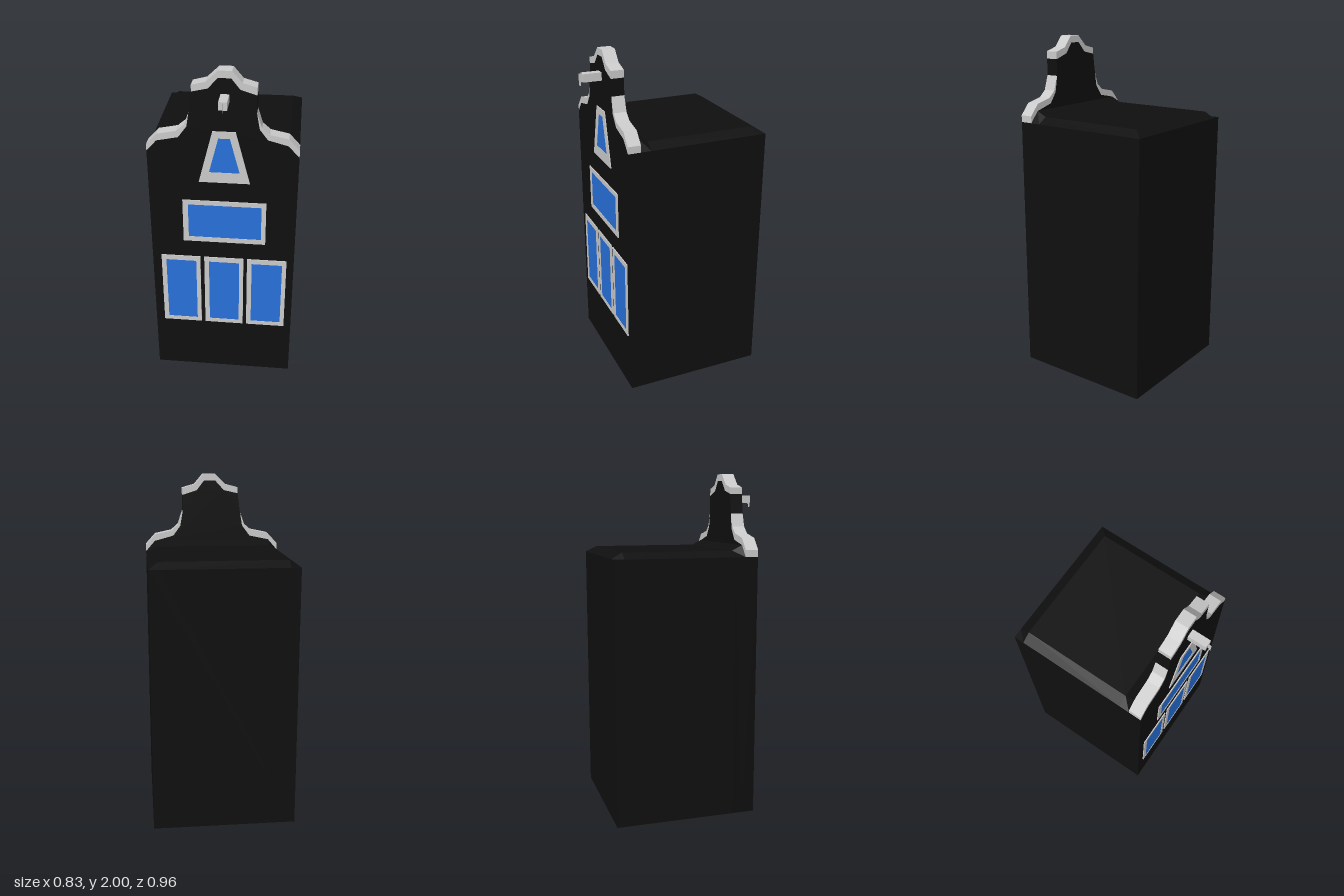
import * as THREE from 'three';

const BACK = -0.48, GABLE = 0.28, FRONT = 0.355;
const black = new THREE.MeshStandardMaterial({ color: 0x0f0f0f, flatShading: true });
const grey = new THREE.MeshStandardMaterial({ color: 0xcccccc, flatShading: true });
const greyThin = new THREE.MeshStandardMaterial({ color: 0xcccccc, side: THREE.DoubleSide });
const blue = new THREE.MeshStandardMaterial({ color: 0x2771dc, flatShading: true });

const toShape = (pts) => new THREE.Shape(pts.map(([x, y]) => new THREE.Vector2(x, y)));

function add(parent, name, geometry, material) {
  const mesh = new THREE.Mesh(geometry, material);
  mesh.name = name;
  parent.add(mesh);
  return mesh;
}

// Flat outline pushed from z0 to z1
function slab(shape, z0, z1) {
  return new THREE.ExtrudeGeometry(shape, { depth: z1 - z0, bevelEnabled: false }).translate(0, 0, z0);
}

// Skin over equal-length sections running from back to front, with both ends closed
function loft(sections) {
  const n = sections[0].length, index = [];
  for (let s = 0; s < sections.length - 1; s++) {
    for (let i = 0; i < n; i++) {
      const a = s * n + i, b = s * n + (i + 1) % n;
      index.push(a, b, b + n, a, b + n, a + n);
    }
  }
  const last = (sections.length - 1) * n;
  for (let i = 1; i < n - 1; i++) {
    index.push(0, i + 1, i, last, last + i, last + i + 1);
  }
  const g = new THREE.BufferGeometry();
  g.setAttribute('position', new THREE.Float32BufferAttribute(sections.flat(2), 3));
  g.setIndex(index);
  const flat = g.toNonIndexed();
  flat.computeVertexNormals();
  return flat;
}

// Framed window: a raised frame with a pane set slightly behind its face
function addWindow(parent, name, outer, inner) {
  const group = new THREE.Group();
  group.name = name;
  const frame = toShape(outer);
  frame.holes.push(toShape(inner));
  add(group, 'windowFrame', slab(frame, FRONT - 0.01, FRONT + 0.006), grey);
  add(group, 'windowPane', slab(toShape(inner), FRONT - 0.01, FRONT + 0.004), blue);
  parent.add(group);
}

const rect = (x0, x1, y0, y1) => [[x0, y0], [x1, y0], [x1, y1], [x0, y1]];

export function createModel() {
  const model = new THREE.Group();
  model.name = 'canalHouse';

  // House block with a shallow hipped roof that rises to meet the gable
  const section = (z, y) => [
    [-0.417, 0, z], [0.417, 0, z], [0.417, 1.525, z],
    [0.36, y, z], [-0.36, y, z], [-0.417, 1.525, z],
  ];
  add(model, 'houseBlock', loft([
    section(BACK, 1.525), section(-0.42, 1.56), section(0.22, 1.56), section(GABLE, 1.59),
  ]), black);

  // Gable outlines, lower edge and upper edge of each coping strip
  const leftLow = [[-0.417, 1.525], [-0.36, 1.59], [-0.24, 1.615], [-0.192, 1.68], [-0.178, 1.765]];
  const leftHigh = [[-0.417, 1.565], [-0.357, 1.63], [-0.25, 1.652], [-0.205, 1.69], [-0.178, 1.765]];
  const topLow = [[-0.162, 1.88], [-0.075, 1.9], [-0.02, 1.96], [0.048, 1.96], [0.095, 1.9], [0.184, 1.872]];
  const topHigh = [[-0.162, 1.917], [-0.085, 1.937], [-0.02, 2], [0.053, 2], [0.107, 1.937], [0.184, 1.915]];
  const rightLow = [[0.184, 1.77], [0.2, 1.68], [0.245, 1.62], [0.355, 1.59], [0.417, 1.525]];
  const rightHigh = [[0.184, 1.775], [0.212, 1.69], [0.255, 1.652], [0.358, 1.63], [0.417, 1.565]];

  const facade = [[-0.417, 0], ...leftLow, ...topLow, ...rightLow, [0.417, 0]];
  add(model, 'facade', slab(toShape(facade), GABLE, FRONT), black);

  const strips = { leftCoping: [leftLow, leftHigh], topCoping: [topLow, topHigh], rightCoping: [rightLow, rightHigh] };
  for (const [name, [low, high]] of Object.entries(strips)) {
    const outline = [...low, ...[...high].reverse()];
    // Drop the shared corner where a strip tapers to a point
    const clean = outline.filter((p, i) => i === 0 || p[0] !== outline[i - 1][0] || p[1] !== outline[i - 1][1]);
    add(model, name, slab(toShape(clean), GABLE, FRONT), grey);
  }

  // Three tall windows, one wide window and the tapered attic window
  for (const x of [-0.365, -0.11, 0.143]) {
    addWindow(model, 'tallWindow', rect(x, x + 0.232, 0.357, 0.843), rect(x + 0.028, x + 0.207, 0.384, 0.812));
  }
  addWindow(model, 'wideWindow', rect(-0.228, 0.247, 0.954, 1.228), rect(-0.197, 0.221, 0.985, 1.2));
  addWindow(model, 'atticWindow',
    [[-0.132, 1.35], [0.153, 1.35], [0.073, 1.66], [-0.053, 1.66]],
    [[-0.074, 1.413], [0.096, 1.413], [0.042, 1.62], [-0.021, 1.62]]);

  // Hoisting beam with a thin hook plate at its tip
  const beam = new THREE.Group();
  beam.name = 'hoistingBeam';
  add(beam, 'beam', slab(toShape(rect(-0.008, 0.038, 1.827, 1.873)), FRONT - 0.01, 0.462), grey);
  const hook = toShape([[0.462, 1.873], [0.462, 1.827], [0.468, 1.822], [0.468, 1.803], [0.48, 1.808], [0.48, 1.873]]);
  add(beam, 'hook', new THREE.ShapeGeometry(hook).rotateY(-Math.PI / 2).translate(0.015, 0, 0), greyThin);
  model.add(beam);

  return model;
}
